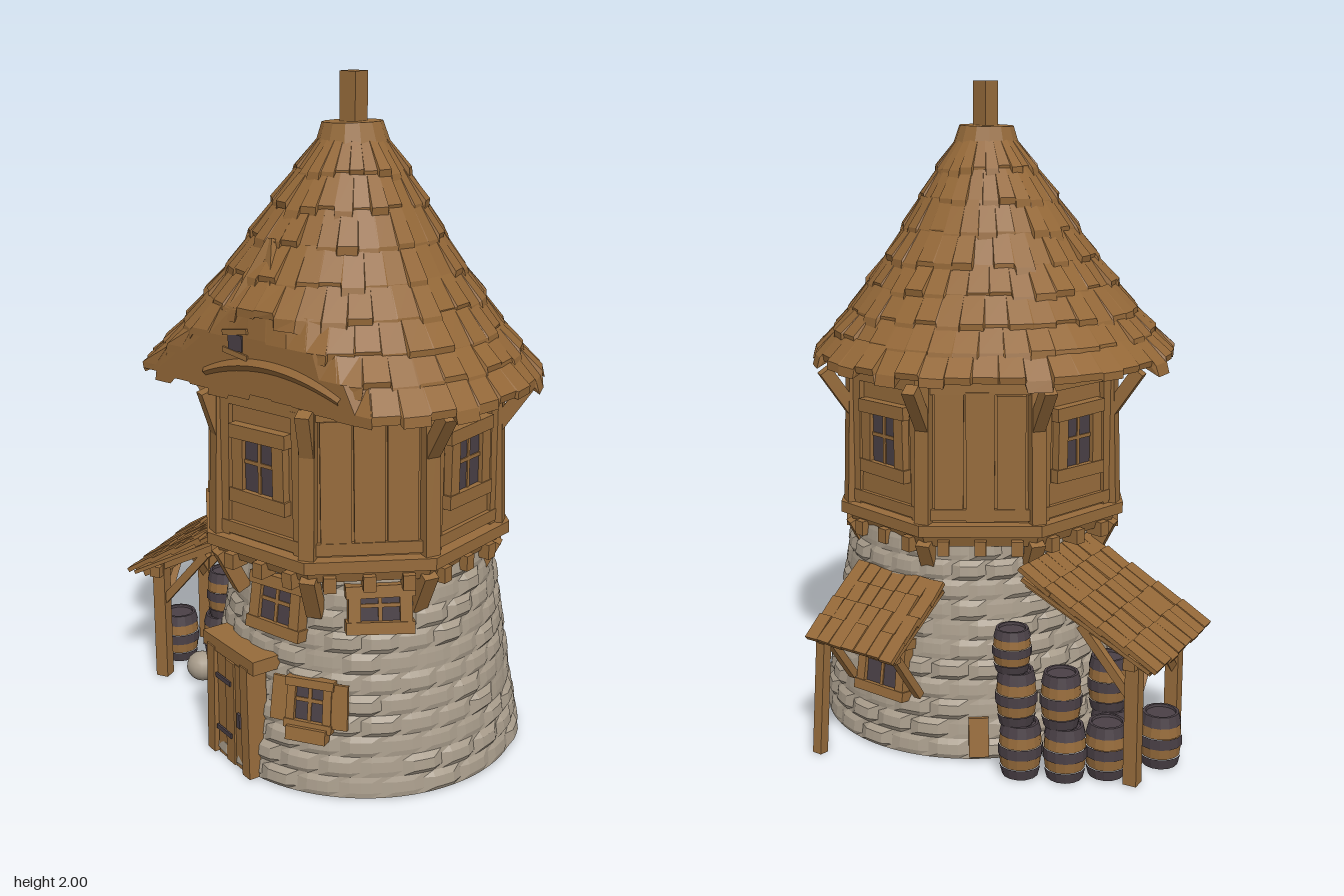
import * as THREE from 'three';

const paint = (name, hex) => Object.assign(new THREE.MeshStandardMaterial({ color: hex }), { name });

// Repeatable noise in 0..1
const noise = (a, b = 0) => { const s = Math.sin(a * 127.1 + b * 311.7 + 7.3) * 43758.5453; return s - Math.floor(s); };

export function createModel() {
  const wood = paint('wood', 0x966b3b);
  const thatch = paint('thatch', 0x946838);
  const stone = paint('stone', 0xa79b8a);
  const dark = paint('dark iron and glass', 0x4a4046);
  const model = new THREE.Group();
  model.name = 'roundTower';

  const group = (parent, name, x = 0, y = 0, z = 0, turn = 0, tilt = 0) => {
    const g = new THREE.Group();
    g.name = name;
    g.position.set(x, y, z);
    g.rotation.set(tilt, turn, 0, 'YXZ');
    parent.add(g);
    return g;
  };
  const add = (parent, name, geometry, mat, x = 0, y = 0, z = 0) => {
    const m = new THREE.Mesh(geometry, mat);
    m.name = name;
    m.position.set(x, y, z);
    parent.add(m);
    return m;
  };
  const box = (parent, name, mat, w, h, d, x, y, z, roll = 0) => {
    const m = add(parent, name, new THREE.BoxGeometry(w, h, d), mat, x, y, z);
    m.rotation.z = roll;
    return m;
  };
  // Square timber between two points
  const beam = (parent, name, a, b, t) => {
    const from = new THREE.Vector3(...a), to = new THREE.Vector3(...b);
    const m = add(parent, name, new THREE.BoxGeometry(t, t, from.distanceTo(to)), wood);
    m.position.copy(from).lerp(to, 0.5);
    m.quaternion.setFromUnitVectors(new THREE.Vector3(0, 0, 1), to.sub(from).normalize());
    return m;
  };
  const flat = (geometry) => { const g = geometry.toNonIndexed(); g.computeVertexNormals(); return g; };
  // Closed rings of points joined into a skin
  const loft = (rows, cols, point) => {
    const pos = [], index = [];
    for (let i = 0; i < rows; i++) for (let j = 0; j < cols; j++) {
      pos.push(...point(i, j));
      if (i === rows - 1) continue;
      const k = (j + 1) % cols, a = i * cols + j, b = i * cols + k;
      index.push(a, b, b + cols, a, b + cols, a + cols);
    }
    const g = new THREE.BufferGeometry();
    g.setAttribute('position', new THREE.Float32BufferAttribute(pos, 3));
    g.setIndex(index);
    g.computeVertexNormals();
    return g;
  };

  // Stone base: staggered blocks with sunken joints
  const CX = 0.155, CZ = 0.075, baseR = (y) => 0.485 - 0.155 * y;
  const courses = 11, stones = 24;
  add(model, 'stoneWall', flat(loft(courses * 4 + 1, stones * 4, (i, j) => {
    const row = Math.floor(i / 4), shift = row % 2 ? 2 : 0, col = Math.floor((j + shift) / 4) % stones;
    const joint = i % 4 === 0 || (j + shift) % 4 === 0;
    const y = 0.66 * i / (courses * 4), a = j / (stones * 4) * Math.PI * 2;
    const r = baseR(y) + (joint ? -0.007 : (noise(row, col) - 0.4) * 0.014);
    return [CX + r * Math.sin(a), y, CZ + r * Math.cos(a)];
  })), stone);
  const under = add(model, 'stoneUnderside', new THREE.CircleGeometry(0.48, 64), stone, CX, 0.001, CZ);
  under.rotation.x = Math.PI / 2;

  const onWall = (name, a, y, out = 0, tilt = -0.154) =>
    group(model, name, CX + (baseR(y) + out) * Math.sin(a), y, CZ + (baseR(y) + out) * Math.cos(a), a, tilt);

  // Framed window with crossed bars, centred on its group
  const glaze = (g, w, h, t = 0.035) => {
    box(g, 'pane', dark, w, h, 0.02, 0, 0, 0);
    for (const s of [-1, 1]) {
      box(g, 'frameSide', wood, t, h + t, 0.04, s * (w + t) / 2, 0, 0.003, s * 0.02);
      box(g, 'frameRail', wood, w + t * 2.4, t, 0.045, 0, s * (h + t) / 2, 0.004, s * 0.015);
    }
    box(g, 'barUpright', wood, 0.011, h, 0.012, 0, 0, 0.008);
    box(g, 'barCross', wood, w, 0.011, 0.012, 0, 0.01, 0.008);
  };
  glaze(onWall('stairWindow', 0.03, 0.53), 0.11, 0.1);
  glaze(onWall('sideWindow', 0.78, 0.555), 0.11, 0.07);
  const low = onWall('shutteredWindow', 0.33, 0.27);
  glaze(low, 0.085, 0.1, 0.025);
  for (const s of [-1, 1]) box(low, 'shutter', wood, 0.05, 0.13, 0.012, s * 0.09, 0.005, 0.012, s * 0.04);
  box(low, 'flowerBox', wood, 0.12, 0.04, 0.04, 0, -0.085, 0.02);

  // Door with frame, hinges and lantern
  const door = group(model, 'door', CX + 0.46 * Math.sin(-0.27), 0, CZ + 0.46 * Math.cos(-0.27), -0.27);
  box(door, 'doorBacking', wood, 0.2, 0.34, 0.08, 0, 0.17, -0.03);
  for (let i = 0; i < 3; i++) box(door, 'doorPlank', wood, 0.046, 0.33, 0.02, (i - 1) * 0.049, 0.165, 0.012 + 0.004 * (i % 2));
  for (const s of [-1, 1]) box(door, 'doorJamb', wood, 0.04, 0.35, 0.065, s * 0.095, 0.175, 0.002, s * 0.025);
  box(door, 'doorLintel', wood, 0.28, 0.042, 0.12, 0, 0.36, -0.03, 0.02);
  for (const y of [0.09, 0.26]) box(door, 'hinge', dark, 0.08, 0.014, 0.006, -0.03, y, 0.028);
  box(door, 'latch', dark, 0.016, 0.045, 0.008, 0.052, 0.16, 0.027);
  const lamp = onWall('lantern', -0.7, 0.27, 0.03, 0);
  add(lamp, 'lanternBody', new THREE.CylinderGeometry(0.02, 0.014, 0.05, 6), dark);
  add(lamp, 'lanternCap', new THREE.ConeGeometry(0.026, 0.025, 6), dark, 0, 0.037, 0);
  box(lamp, 'lanternArm', dark, 0.008, 0.008, 0.06, 0, 0.055, -0.02);

  // Timber storey on eight sides
  const storey = group(model, 'timberStorey', 0.14, 0, 0.11);
  const octagon = (name, rt, rb, h, y) =>
    add(storey, name, flat(new THREE.CylinderGeometry(rt, rb, h, 8, 1, false, Math.PI / 8)), wood, 0, y, 0);
  octagon('timberWall', 0.425, 0.436, 0.55, 0.955);
  octagon('sillRing', 0.476, 0.476, 0.035, 0.702);
  octagon('floorRing', 0.45, 0.435, 0.04, 0.665);
  octagon('topRing', 0.445, 0.445, 0.04, 1.13);
  for (let k = 0; k < 8; k++) {
    const corner = group(storey, 'corner', 0, 0, 0, (k + 0.5) * Math.PI / 4);
    beam(corner, 'cornerPost', [0, 0.71, 0.437], [0, 1.17, 0.422], 0.045);
    beam(corner, 'eaveBrace', [0, 1.0, 0.425], [0, 1.14, 0.47 + (k === 0 || k === 7 ? 0 : 0.05)], 0.04);
    beam(corner, 'floorBrace', [0, 0.53, 0.37], [0, 0.66, 0.435], 0.045);
    const side = group(storey, 'side', 0, 0, 0.0, k * Math.PI / 4);
    for (const s of [-1, 0, 1]) box(side, 'joistEnd', wood, 0.035, 0.045, 0.06, s * 0.11, 0.645, 0.4);
    if (k % 2 === 0) {
      glaze(group(side, 'upperWindow', 0, 0.945, 0.4), 0.11, 0.15, 0.04);
      for (const s of [-1, 1]) box(side, 'stud', wood, 0.035, 0.42, 0.02, s * 0.135, 0.92, 0.402, s * 0.02);
    } else {
      for (let i = 0; i < 3; i++)
        box(side, 'wallPlank', wood, 0.085, 0.36 + 0.05 * noise(i, k), 0.016, (i - 1) * 0.092, 0.92, 0.4 + 0.006 * noise(k, i), (noise(k, i + 5) - 0.5) * 0.05);
    }
    box(side, 'lowerRail', wood, 0.32, 0.035, 0.025, 0, 0.745, 0.402);
  }

  // Thatched roof: ragged overlapping tiers, flattened at the front
  const edge = [[0.575, 1.165], [0.515, 1.235], [0.46, 1.3], [0.4, 1.38], [0.34, 1.46], [0.28, 1.55], [0.225, 1.64], [0.165, 1.73], [0.1, 1.82]];
  const FRONT = 0.555;
  const roofPoint = (r, y, a) => {
    const t = (y - 1.16) / 0.66;
    return [0.14 + 0.035 * t + r * Math.sin(a), y, Math.min(FRONT, 0.165 - 0.005 * t + r * Math.cos(a))];
  };
  const roof = group(model, 'thatchedRoof');
  for (let i = 0; i < 8; i++) {
    const [r, y] = edge[i], [r2, y2] = edge[i + 1], strips = 46 - i * 3;
    add(roof, 'thatchTier', flat(loft(4, strips * 2, (row, j) => {
      const s = j >> 1, a = (s + (j % 2 ? 0.94 : 0) + i * 0.37) / strips * Math.PI * 2;
      const drop = (noise(s, i) - 0.5) * 0.035, lift = (noise(i, s) - 0.5) * 0.016;
      if (row === 0) return roofPoint(r - 0.05, y + 0.005, a);
      if (row === 1) return roofPoint(r + lift - drop * 0.5, y - 0.015 + drop, a);
      if (row === 2) return roofPoint(r + lift - 0.004, y + 0.012 + drop * 0.5, a);
      return roofPoint(r2 - 0.012, y2 + 0.012, a);
    })), thatch);
  }
  add(roof, 'soffit', flat(loft(2, 64, (row, j) => row ? roofPoint(0.56, 1.165, j / 32 * Math.PI) : roofPoint(0.3, 1.24, j / 32 * Math.PI))), thatch);
  add(roof, 'roofCollar', flat(new THREE.CylinderGeometry(0.085, 0.108, 0.07, 14)), wood, 0.175, 1.83, 0.16).rotation.z = 0.03;
  box(roof, 'roofPole', wood, 0.055, 0.2, 0.055, 0.178, 1.9, 0.16);

  // Small slatted gable leaning on the roof, with a hatch and brow below
  const gable = group(model, 'gable', 0.12, 1.375, 0.525, 0, -0.45);
  const tri = new THREE.Shape([[-0.07, 0], [0.07, 0], [0, 0.2]].map((p) => new THREE.Vector2(...p)));
  add(gable, 'gableBoard', new THREE.ExtrudeGeometry(tri, { depth: 0.08, bevelEnabled: false }), wood, 0, 0, -0.085);
  for (const s of [-1, 1]) beam(gable, 'gableEdge', [s * 0.07, -0.01, 0], [0, 0.21, 0], 0.026);
  for (let i = 0; i < 4; i++) box(gable, 'gableSlat', wood, 0.11 - i * 0.027, 0.014, 0.014, 0, 0.02 + i * 0.035, 0.003);
  box(model, 'hatchPane', dark, 0.05, 0.045, 0.008, 0.09, 1.3, FRONT);
  for (const s of [-1, 1]) box(model, 'hatchFrame', wood, 0.09, 0.015, 0.016, 0.09, 1.3 + s * 0.03, FRONT - 0.002, s * 0.15);
  const brow = new THREE.QuadraticBezierCurve3(new THREE.Vector3(-0.03, 1.2, 0.545), new THREE.Vector3(0.2, 1.3, 0.555), new THREE.Vector3(0.45, 1.2, 0.545));
  add(model, 'thatchBrow', flat(new THREE.TubeGeometry(brow, 20, 0.018, 5)), thatch);

  // Shingled lean-to roof falling towards its own +z
  const shingles = (g, width, depth, fall, cols, rows) => {
    const slope = group(g, 'shingleSlope', 0, 0, 0, 0, Math.atan2(fall, depth));
    const len = Math.hypot(depth, fall), w = width / cols, l = len / rows;
    box(slope, 'roofBoard', wood, width * 0.96, 0.012, len * 0.97, 0, -0.012, len / 2);
    for (let r = 0; r < rows; r++) for (let c = 0; c < cols; c++) {
      const m = box(slope, 'shingle', thatch, w * 0.95, 0.014, l * (1.15 + 0.15 * noise(r, c)), (c + 0.5) * w - width / 2, 0.005 + 0.006 * noise(c, r), (r + 0.5) * l);
      m.rotation.set(0.07, (noise(r + 9, c) - 0.5) * 0.1, 0);
    }
  };
  const shed = group(model, 'barrelShelter', -0.255, 0, 0.025, -1.276);
  shingles(group(shed, 'shelterRoof', 0, 0.6, 0), 0.44, 0.42, 0.215, 8, 5);
  for (const s of [-1, 1]) {
    const x = s * 0.155;
    beam(shed, 'shelterPost', [x, 0, 0.34], [x, 0.41, 0.34], 0.042);
    beam(shed, 'shelterRafter', [x, 0.565, 0], [x, 0.365, 0.4], 0.032);
    beam(shed, 'postBrace', [x, 0.26, 0.34], [x, 0.46, 0.17], 0.026);
    beam(shed, 'sideBrace', [x, 0.24, 0.34], [x - s * 0.11, 0.37, 0.34], 0.024);
  }
  beam(shed, 'shelterBeam', [-0.2, 0.385, 0.34], [0.2, 0.385, 0.34], 0.036);

  const awning = group(model, 'backAwning', 0.075, 0, -0.3, Math.PI + 0.17);
  shingles(group(awning, 'awningRoof', 0, 0.525, 0), 0.34, 0.24, 0.155, 7, 4);
  for (const s of [-1, 1]) {
    beam(awning, 'awningRafter', [s * 0.13, 0.5, 0], [s * 0.13, 0.36, 0.23], 0.026);
    beam(awning, 'awningBrace', [s * 0.13, 0.2, 0.08], [s * 0.13, 0.37, 0.2], 0.024);
  }
  beam(awning, 'awningBeam', [-0.16, 0.365, 0.21], [0.16, 0.365, 0.21], 0.026);
  beam(awning, 'awningPost', [-0.135, 0, 0.235], [-0.135, 0.37, 0.205], 0.032);
  glaze(onWall('backHatch', Math.PI + 0.17, 0.26), 0.12, 0.13, 0.03);
  box(onWall('wallBoard', Math.PI + 0.85, 0.07), 'board', wood, 0.06, 0.12, 0.02, 0, 0, 0);

  // Barrels: bulging bands in alternating colours
  const barrel = (x, y, z, r = 0.062, h = 0.165) => {
    const g = group(model, 'barrel', x, y, z, x * 20);
    const cuts = [0, 0.2, 0.4, 0.6, 0.8, 1];
    for (let i = 0; i < 5; i++) {
      const hoop = i % 2 === 0, grow = hoop ? 0.003 : 0;
      const ring = [cuts[i], cuts[i + 1]].map((t) => new THREE.Vector2(r * (0.8 + 0.8 * t * (1 - t)) + grow, h * t));
      if (i === 0) ring.unshift(new THREE.Vector2(0, 0));
      if (i === 4) ring.push(new THREE.Vector2(r * 0.72, h), new THREE.Vector2(r * 0.7, h - 0.008), new THREE.Vector2(0, h - 0.008));
      add(g, hoop ? 'barrelHoop' : 'barrelStaves', flat(new THREE.LatheGeometry(ring, 14)), hoop ? dark : wood);
    }
  };
  for (const [x, z, n] of [[-0.35, -0.21, 3], [-0.455, -0.13, 2], [-0.53, -0.03, 1], [-0.595, 0.14, 1], [-0.47, 0.06, 2]])
    for (let i = 0; i < n; i++) barrel(x + 0.012 * i, i * 0.162, z - 0.006 * i, 0.064 - 0.004 * i, i === 2 ? 0.13 : 0.165);

  // Grain sack beside the wall
  const sack = add(model, 'sack', new THREE.SphereGeometry(0.055, 14, 10), stone, -0.41, 0.048, 0.22);
  sack.scale.set(1, 0.88, 0.9);
  return model;
}
